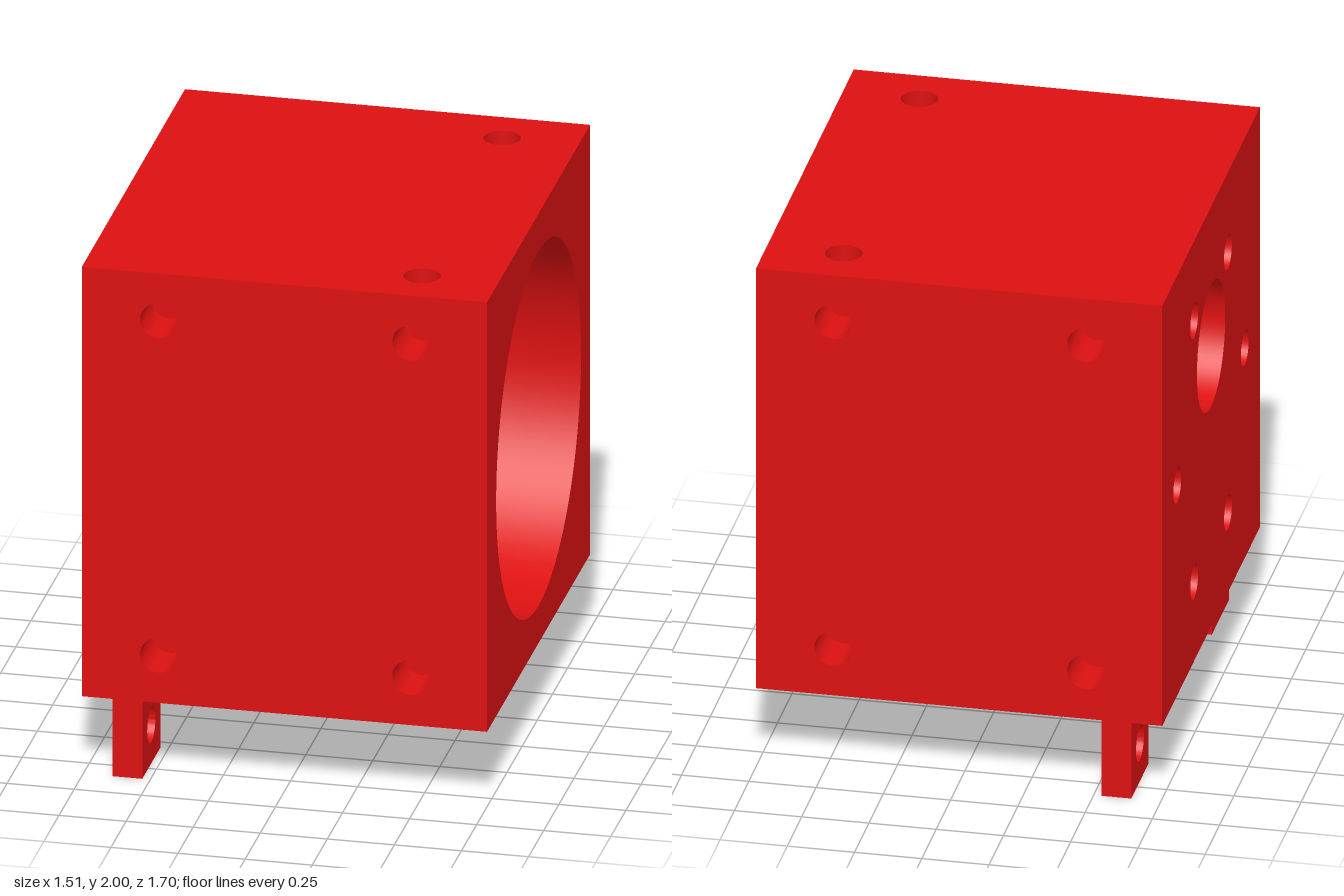
import * as THREE from 'three';
import { toCreasedNormals } from 'three/addons/utils/BufferGeometryUtils.js';

const SEG = 32;                       // half the sides of every circle
const HX = 0.755, HZ = 0.85;          // half width and half depth of the block
const Y0 = 0.305, Y1 = 2, YC = (Y0 + Y1) / 2;
const BORE = 0.7, WALL = 0.115;       // main bore radius, end wall thickness
const R = 0.068, DEPTH = 0.19;        // screw holes

function circlePath(x, y, r, Type = THREE.Path) {
  return new Type().absarc(x, y, r, 0, Math.PI * 2, false);
}

function rectShape(w, h, holes = []) {
  const s = new THREE.Shape();
  s.moveTo(-w / 2, -h / 2).lineTo(w / 2, -h / 2).lineTo(w / 2, h / 2).lineTo(-w / 2, h / 2).closePath();
  s.holes = holes.map(([x, y, r]) => circlePath(x, y, r));
  return s;
}

// Inward-facing wall of a hole opening at z = 0 and running to z = -depth
function holeWall(r, depth, mitred = false) {
  const g = new THREE.CylinderGeometry(r, r, depth, SEG * 2, 1, true);
  g.rotateX(Math.PI / 2).translate(0, 0, -depth / 2);
  const p = g.attributes.position, n = g.attributes.normal, idx = g.index.array;
  for (let i = 0; i < p.count; i++) {
    n.setXYZ(i, -n.getX(i), -n.getY(i), -n.getZ(i));
    // a mitred hole meets a crossing hole above its inner end
    if (mitred && p.getZ(i) < -depth / 2) p.setZ(i, -depth + Math.max(0, p.getY(i)));
  }
  for (let i = 0; i < idx.length; i += 3) [idx[i], idx[i + 1]] = [idx[i + 1], idx[i]];
  return g;
}

export function createModel() {
  const model = new THREE.Group();
  model.name = 'motorHousing';
  const red = new THREE.MeshStandardMaterial({ color: 0xdd1111 });
  red.name = 'red';

  function add(name, geometry, pos, rot = [0, 0, 0], parent = model) {
    const m = new THREE.Mesh(geometry, red);
    m.name = name;
    m.position.set(...pos);
    m.rotation.set(...rot, 'YXZ');
    parent.add(m);
    return m;
  }
  const panel = (shape) => new THREE.ShapeGeometry(shape, SEG);

  // Blind screw hole; a mitred one has only half of its flat end
  function blindHole(name, pos, rot, mitred) {
    const g = new THREE.Group();
    g.name = name;
    g.position.set(...pos);
    g.rotation.set(...rot, 'YXZ');
    add('holeWall', holeWall(R, DEPTH, mitred), [0, 0, 0], [0, 0, 0], g);
    const end = mitred
      ? new THREE.CircleGeometry(R, SEG, Math.PI, Math.PI)
      : new THREE.CircleGeometry(R, SEG * 2);
    add('holeEnd', end, [0, 0, -DEPTH], [0, 0, 0], g);
    model.add(g);
  }

  const H = Y1 - Y0, SX = 0.47, SY = 0.66, SZ = HZ - DEPTH;
  const corners = [[SX, SY, R], [-SX, SY, R], [SX, -SY, R], [-SX, -SY, R]];

  // Front and back faces with four screw holes each, plus the holes in the top
  for (const s of [1, -1]) {
    const side = s > 0 ? 'front' : 'back';
    const turn = s > 0 ? 0 : Math.PI;
    add(side + 'Face', panel(rectShape(HX * 2, H, corners)), [0, YC, s * HZ], [0, turn, 0]);
    for (const [x, y] of corners)
      blindHole(side + 'ScrewHole', [x, YC + y, s * HZ], [0, turn, 0], x > 0 && y > 0);
    blindHole(side + 'TopScrewHole', [SX, Y1, s * SZ], [-Math.PI / 2, Math.PI - turn, 0], true);
  }

  // Top and bottom faces
  add('topFace', panel(rectShape(HX * 2, HZ * 2, [[SX, SZ, R], [SX, -SZ, R]])),
    [0, Y1, 0], [-Math.PI / 2, 0, 0]);
  add('bottomFace', panel(rectShape(HX * 2, HZ * 2)), [0, Y0, 0], [Math.PI / 2, 0, 0]);

  // Open side with the main bore
  add('boreFace', panel(rectShape(HZ * 2, H, [[0, 0, BORE]])), [HX, YC, 0], [0, Math.PI / 2, 0]);
  add('boreWall', holeWall(BORE, HX * 2 - WALL), [HX, YC, 0], [0, Math.PI / 2, 0]);

  // End wall: offset shaft hole and a ring of six bolt holes
  const endHoles = [[0, 0.285, 0.246]];
  for (let i = 0; i < 6; i++) {
    const a = i * Math.PI / 3;
    endHoles.push([0.587 * Math.cos(a), 0.587 * Math.sin(a) * 1.035, R]);
  }
  add('endFace', panel(rectShape(HZ * 2, H, endHoles)), [-HX, YC, 0], [0, -Math.PI / 2, 0]);
  const floor = circlePath(0, 0, BORE, THREE.Shape);
  floor.holes = endHoles.map(([x, y, r]) => circlePath(x, y, r));
  add('boreFloor', panel(floor), [-HX + WALL, YC, 0], [0, Math.PI / 2, 0]);
  endHoles.forEach(([z, y, r], i) =>
    add(i ? 'boltHole' : 'shaftHole', holeWall(r, WALL), [-HX, YC + y, z], [0, -Math.PI / 2, 0]));

  // Mounting lugs below the end wall
  const lug = toCreasedNormals(new THREE.ExtrudeGeometry(rectShape(0.3, Y0, [[0, 0, R]]),
    { depth: 0.11, bevelEnabled: false, curveSegments: SEG }), 0.5);
  for (const s of [1, -1])
    add(s > 0 ? 'frontLug' : 'backLug', lug, [-0.64, Y0 / 2, s * 0.7], [0, Math.PI / 2, 0]);

  return model;
}
